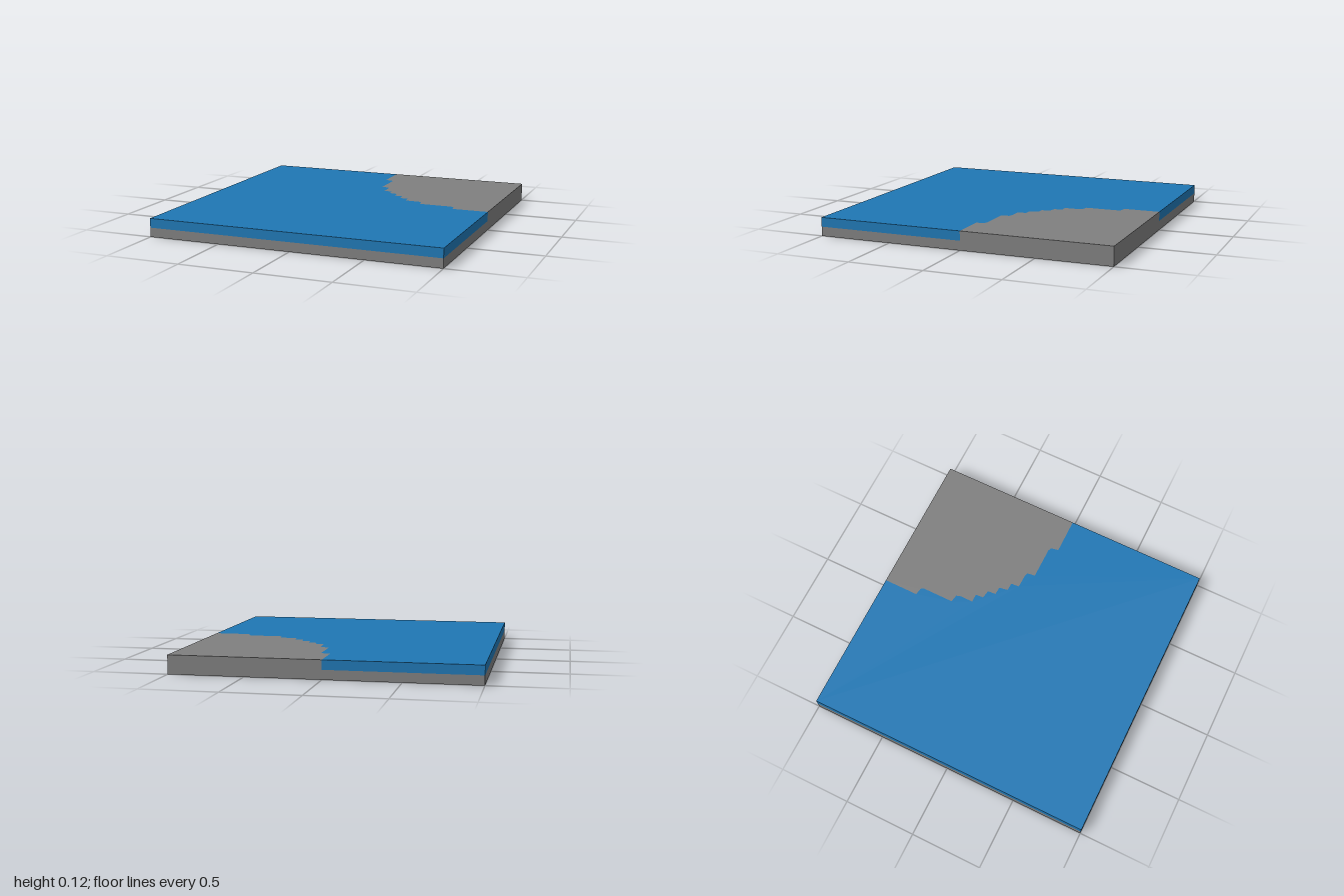
import * as THREE from 'three';

const HALF = 0.0625; // thickness of each of the two layers

// Stepped shoreline as [x, z], from the back edge to the left edge
const SHORE = [
  [0, -1], [0, -0.757], [0.05, -0.748], [0.0625, -0.73],
  [0.0625, -0.507], [0.115, -0.497], [0.125, -0.47],
  [0.125, -0.375], [0.183, -0.375], [0.1875, -0.32],
  [0.245, -0.31], [0.25, -0.253], [0.305, -0.25],
  [0.315, -0.19], [0.37, -0.187], [0.375, -0.13],
  [0.47, -0.127], [0.493, -0.118], [0.5, -0.0645],
  [0.72, -0.0625], [0.745, -0.052], [0.755, 0], [1, 0],
];

// Upper-layer slab bounded by the shoreline and the given outer corners
function slab(name, corners, material) {
  const points = [...SHORE, ...corners].map(([x, z]) => new THREE.Vector2(x, -z));
  const geometry = new THREE.ExtrudeGeometry(new THREE.Shape(points), {
    depth: HALF, bevelEnabled: false,
  });
  geometry.rotateX(-Math.PI / 2);
  const mesh = new THREE.Mesh(geometry, material);
  mesh.name = name;
  mesh.position.y = HALF;
  return mesh;
}

export function createModel() {
  const stone = new THREE.MeshStandardMaterial({ color: 0x7f7f7f });
  stone.name = 'stone grey';
  const water = new THREE.MeshStandardMaterial({ color: 0x1f77b4 });
  water.name = 'water blue';

  const model = new THREE.Group();
  model.name = 'shoreTile';

  // Full square base layer
  const base = new THREE.Mesh(new THREE.BoxGeometry(2, HALF, 2), stone);
  base.name = 'base';
  base.position.y = HALF / 2;

  // Water around three quarters, land in the back left corner
  model.add(
    base,
    slab('water', [[1, 1], [-1, 1], [-1, -1]], water),
    slab('land', [[1, -1]], stone),
  );
  return model;
}
